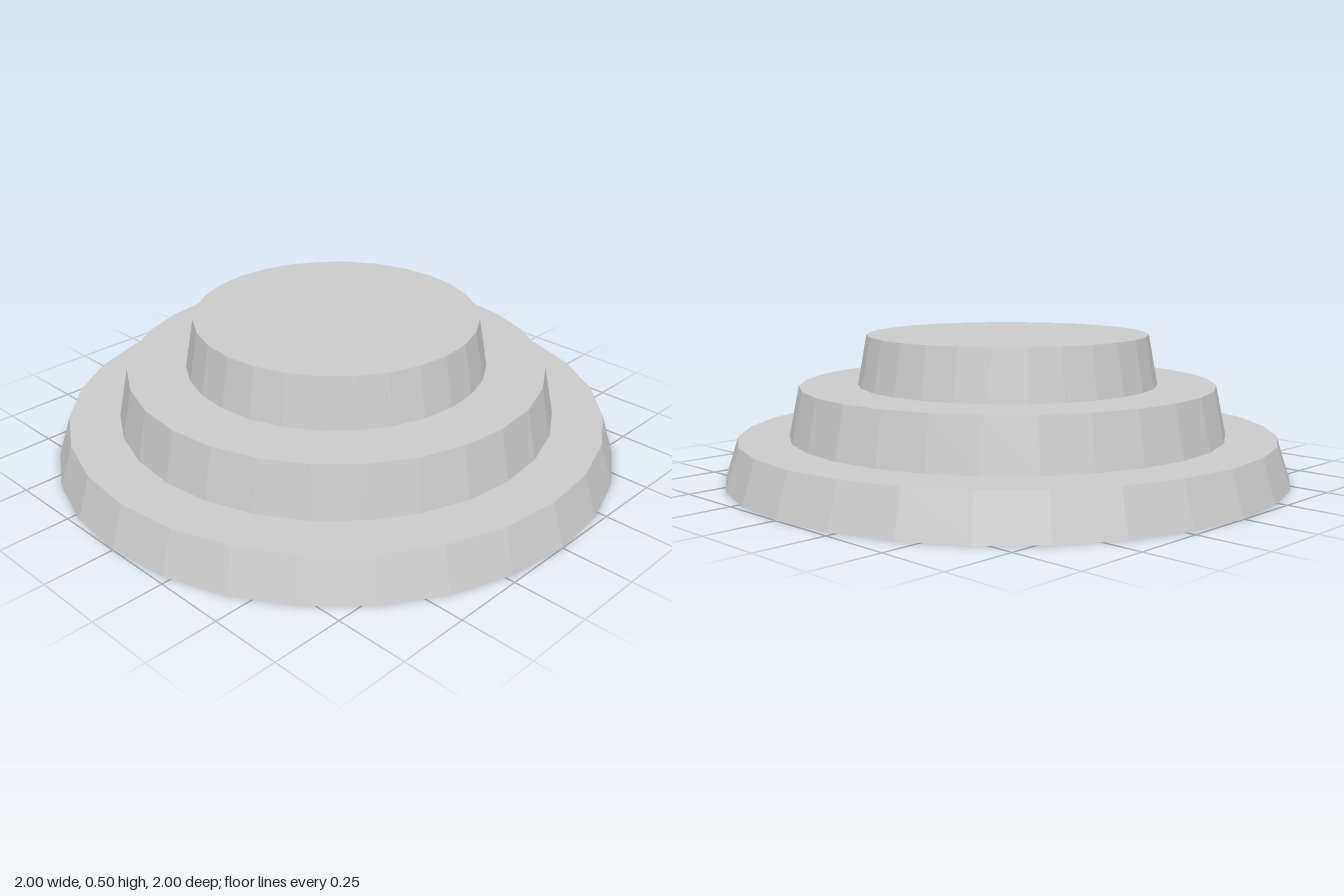
import * as THREE from 'three';

const SIDES = 28;

// Each tier is a sloped wall plus the flat ledge that runs in to the next tier
const TIERS = [
  { name: 'baseTier', bottomRadius: 1.0, topRadius: 0.953, y0: 0, y1: 0.148 },
  { name: 'middleTier', bottomRadius: 0.775, topRadius: 0.738, y0: 0.148, y1: 0.326 },
  { name: 'topTier', bottomRadius: 0.532, topRadius: 0.5, y0: 0.326, y1: 0.502 },
];

export function createModel() {
  const group = new THREE.Group();
  group.name = 'steppedDisc';

  // Thin open-bottomed shell, so both sides show
  const material = new THREE.MeshStandardMaterial({
    color: 0xcccccc,
    flatShading: true,
    side: THREE.DoubleSide,
  });

  TIERS.forEach((tier, i) => {
    const innerRadius = TIERS[i + 1]?.bottomRadius ?? 0;
    const profile = [
      new THREE.Vector2(tier.bottomRadius, tier.y0),
      new THREE.Vector2(tier.topRadius, tier.y1),
      new THREE.Vector2(innerRadius, tier.y1),
    ];
    const mesh = new THREE.Mesh(new THREE.LatheGeometry(profile, SIDES), material);
    mesh.name = tier.name;
    group.add(mesh);
  });

  return group;
}
